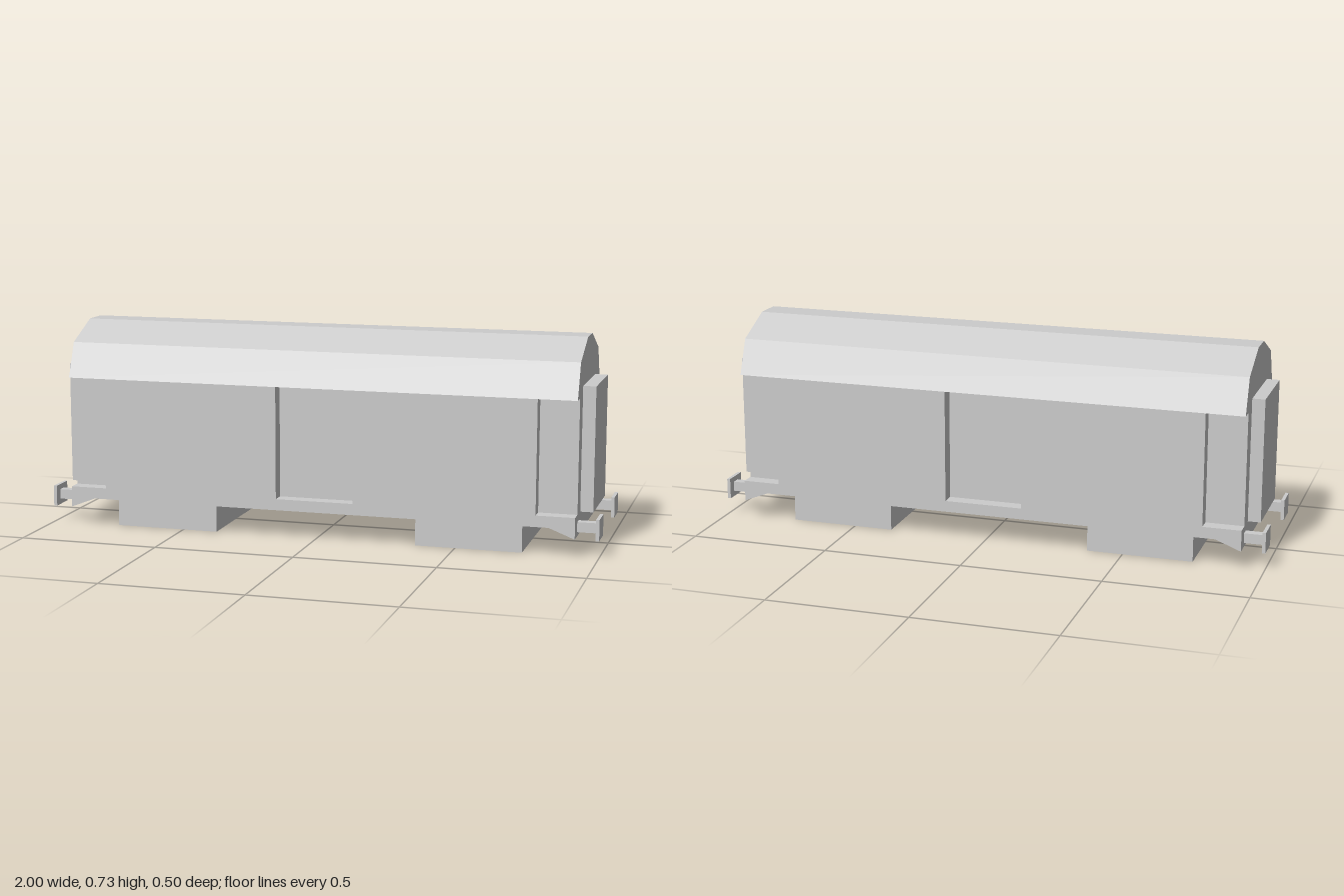
import * as THREE from 'three';

const material = new THREE.MeshStandardMaterial({
  color: 0xcccccc, flatShading: true, side: THREE.DoubleSide,
});

const HALF = 0.92; // half length of the wagon body

// Half cross-section [z, y]: ledge over the skirt, inner wall, eave, roof slopes
const halfSection = [[0.25, 0.14], [0.2, 0.14], [0.2, 0.54], [0.25, 0.54], [0.2, 0.663], [0.05, 0.731]];
const section = [...halfSection, ...halfSection.map(([z, y]) => [-z, y]).reverse()];

function addMesh(parent, name, geometry, x = 0, y = 0, z = 0) {
  const mesh = new THREE.Mesh(geometry, material);
  mesh.name = name;
  mesh.position.set(x, y, z);
  parent.add(mesh);
  return mesh;
}

// Box given by its limits; skipped sides are numbered +x, -x, +y, -y, +z, -z = 0..5
function addBox(parent, name, [x0, x1], [y0, y1], [z0, z1], skip = []) {
  const geometry = new THREE.BoxGeometry(x1 - x0, y1 - y0, z1 - z0);
  const index = Array.from(geometry.index.array);
  geometry.setIndex(index.filter((v, i) => !skip.includes(Math.floor(i / 6))));
  geometry.clearGroups();
  return addMesh(parent, name, geometry, (x0 + x1) / 2, (y0 + y1) / 2, (z0 + z1) / 2);
}

// Sweeps the cross-section along x as flat strips
function shellGeometry(points) {
  const pos = [];
  for (let i = 0; i < points.length - 1; i++) {
    const [az, ay] = points[i];
    const [bz, by] = points[i + 1];
    const a = [-HALF, ay, az], b = [HALF, ay, az], c = [HALF, by, bz], d = [-HALF, by, bz];
    pos.push(...a, ...b, ...c, ...a, ...c, ...d);
  }
  const geometry = new THREE.BufferGeometry();
  geometry.setAttribute('position', new THREE.Float32BufferAttribute(pos, 3));
  geometry.computeVertexNormals();
  return geometry;
}

function flatShape(points) {
  return new THREE.ShapeGeometry(new THREE.Shape(points.map(([x, y]) => new THREE.Vector2(x, y))));
}

export function createModel() {
  const model = new THREE.Group();
  model.name = 'railwayWagon';

  // Roof and recessed walls
  addMesh(model, 'roofAndInnerWalls', shellGeometry(section));

  // Raised wall panels between the door recesses, and the skirts below
  const skirt = flatShape([
    [-HALF, 0.065], [-0.83, 0.1], [0.83, 0.1], [HALF, 0.065], [HALF, 0.14], [-HALF, 0.14],
  ]);
  for (const s of [1, -1]) {
    const side = new THREE.Group();
    side.name = s > 0 ? 'frontSide' : 'backSide';
    side.rotation.y = s > 0 ? 0 : Math.PI;
    addMesh(side, 'skirt', skirt, 0, 0, 0.25);
    addBox(side, 'wallPanelLeft', [0.14, 0.785], [0.14, 0.54], [0.2, 0.25], [2, 3, 5]);
    addBox(side, 'wallPanelRight', [-0.785, -0.14], [0.14, 0.54], [0.2, 0.25], [2, 3, 5]);
    model.add(side);
  }

  // End walls with gangway and buffers
  const endWall = flatShape([[0.25, 0.065], ...section, [-0.25, 0.065]]).rotateY(Math.PI / 2);
  for (const s of [1, -1]) {
    const end = new THREE.Group();
    end.name = s > 0 ? 'leftEnd' : 'rightEnd';
    end.rotation.y = s > 0 ? 0 : Math.PI;
    addMesh(end, 'endWall', endWall, HALF, 0, 0);
    addBox(end, 'gangway', [HALF, 0.965], [0.138, 0.574], [-0.139, 0.139], [1, 3]);
    for (const b of [1, -1]) {
      const z = b * 0.185;
      addBox(end, 'bufferShank', [HALF, 0.988], [0.08, 0.115], [z - 0.016, z + 0.016], [0, 1]);
      addBox(end, 'bufferPlate', [0.988, 1], [0.06, 0.134], [z - 0.046, z + 0.046]);
    }
    model.add(end);
  }

  // Bogie frames, open above and below
  for (const x of [0.547, -0.561]) {
    addBox(model, x > 0 ? 'bogieLeft' : 'bogieRight', [x - 0.188, x + 0.188], [0, 0.1], [-0.221, 0.221], [2, 3]);
  }

  return model;
}
